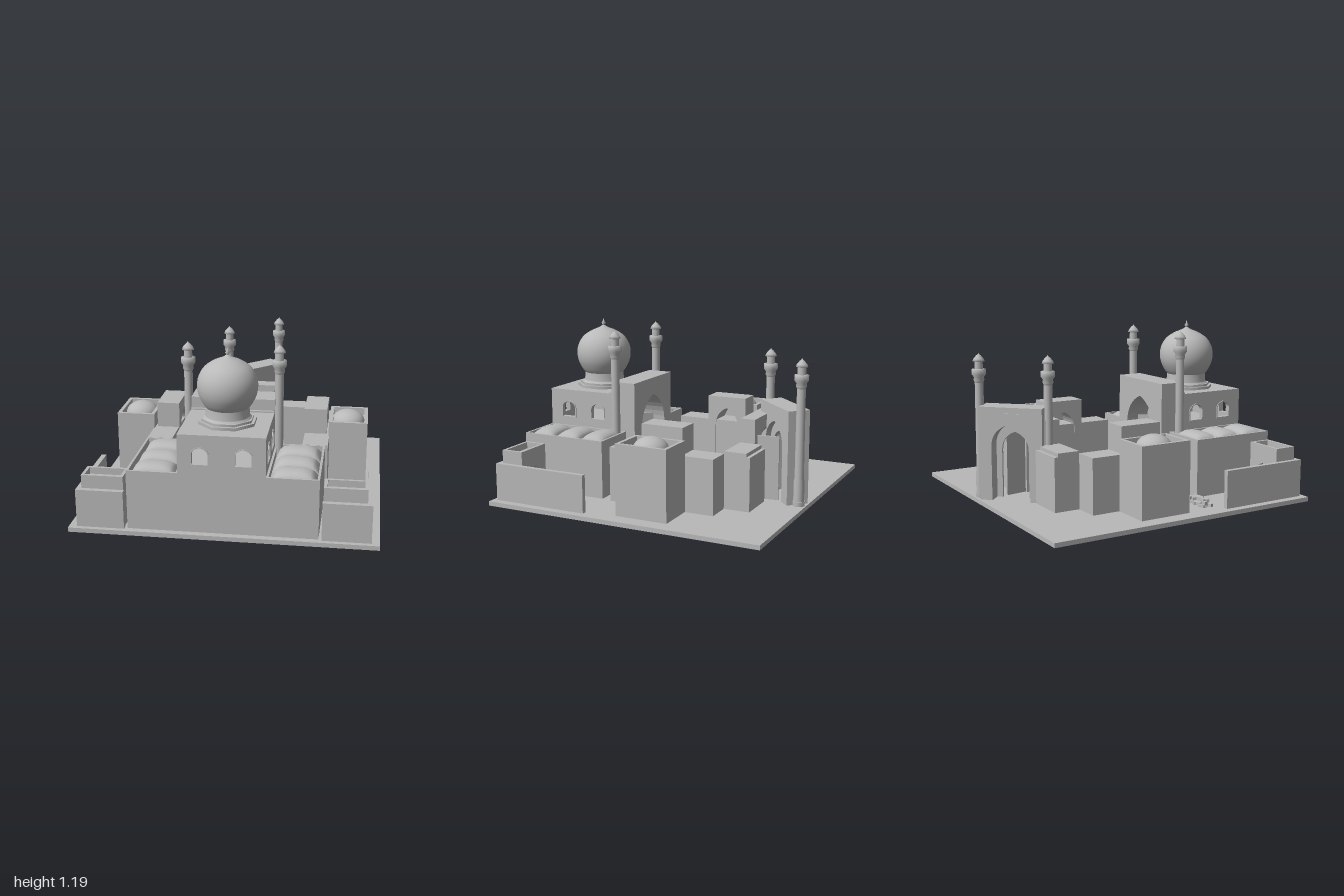
import * as THREE from 'three';

const stone = new THREE.MeshStandardMaterial({ color: 0xb9b9b9, side: THREE.DoubleSide });
stone.name = 'grey stone';

function add(parent, name, geometry, x = 0, y = 0, z = 0, ry = 0) {
  const mesh = new THREE.Mesh(geometry, stone);
  mesh.name = name;
  mesh.position.set(x, y, z);
  mesh.rotation.y = ry;
  parent.add(mesh);
  return mesh;
}

// Box given by its limits
function block(parent, name, x0, x1, y0, y1, z0, z1) {
  return add(parent, name, new THREE.BoxGeometry(x1 - x0, y1 - y0, z1 - z0),
    (x0 + x1) / 2, (y0 + y1) / 2, (z0 + z1) / 2);
}

// Block with a sunken roof behind a parapet
function parapetBlock(parent, name, x0, x1, z0, z1, top, roof, t) {
  block(parent, name, x0, x1, 0.03, roof, z0, z1);
  for (const [a, b, c, d] of [[x0, x1, z0, z0 + t], [x0, x1, z1 - t, z1],
    [x0, x0 + t, z0 + t, z1 - t], [x1 - t, x1, z0 + t, z1 - t]])
    block(parent, name + 'Parapet', a, b, roof, top, c, d);
}

// Pointed arch from right foot over the apex to the left foot
function drawArch(path, a) {
  const m = a.spring + (a.apex - a.spring) * 0.72;
  path.lineTo(a.x + a.hw, a.y);
  path.lineTo(a.x + a.hw, a.spring);
  path.quadraticCurveTo(a.x + a.hw, m, a.x, a.apex);
  path.quadraticCurveTo(a.x - a.hw, m, a.x - a.hw, a.spring);
  path.lineTo(a.x - a.hw, a.y);
}

// Wall in the xy plane, with an optional arched door and arched windows
function archWall(w, y0, y1, depth, door, windows = []) {
  const s = new THREE.Shape();
  s.moveTo(-w / 2, y0);
  s.lineTo(-w / 2, y1);
  s.lineTo(w / 2, y1);
  s.lineTo(w / 2, y0);
  if (door) drawArch(s, { x: 0, y: y0, ...door });
  s.closePath();
  for (const a of windows) {
    const h = new THREE.Path();
    h.moveTo(a.x - a.hw, a.y);
    drawArch(h, a);
    s.holes.push(h);
  }
  const g = new THREE.ExtrudeGeometry(s, { depth, bevelEnabled: false, curveSegments: 8 });
  return g.translate(0, 0, -depth / 2);
}

// Thin raised border around an arched window
function archFrame(a, t) {
  const s = new THREE.Shape();
  s.moveTo(-a.hw - t, a.y - t);
  drawArch(s, { x: 0, y: a.y - t, hw: a.hw + t, spring: a.spring, apex: a.apex + t });
  const h = new THREE.Path();
  h.moveTo(-a.hw, a.y);
  drawArch(h, { ...a, x: 0 });
  s.holes.push(h);
  return new THREE.ExtrudeGeometry(s, { depth: 0.006, bevelEnabled: false, curveSegments: 8 });
}

const lathe = (pts, n = 24) =>
  new THREE.LatheGeometry(pts.map(([r, y]) => new THREE.Vector2(r, y)), n);

// Slender tower with balcony, lantern and pointed cap
function minaret(parent, x, z, top) {
  const g = new THREE.Group();
  g.name = 'minaret';
  g.position.set(x, 0, z);
  parent.add(g);
  add(g, 'minaretBase', new THREE.CylinderGeometry(0.042, 0.042, 0.03, 8), 0, 0.045, 0);
  add(g, 'minaretShaft', lathe([[0.036, 0.03], [0.036, 0.2], [0.031, 0.22], [0.029, top - 0.2]], 16));
  add(g, 'balcony', lathe([[0.029, top - 0.2], [0.036, top - 0.185], [0.034, top - 0.165],
    [0.048, top - 0.145], [0.048, top - 0.11], [0.03, top - 0.108]], 16));
  add(g, 'lantern', new THREE.CylinderGeometry(0.027, 0.029, 0.06, 12), 0, top - 0.085, 0);
  add(g, 'cap', lathe([[0.026, top - 0.06], [0.041, top - 0.057], [0.034, top - 0.04],
    [0.016, top - 0.018], [0.005, top - 0.01], [0, top]], 16));
}

// Pillow-shaped roof vault
function vault(w, d, h) {
  const g = new THREE.PlaneGeometry(w, d, 14, 14).rotateX(-Math.PI / 2);
  const p = g.attributes.position;
  for (let i = 0; i < p.count; i++) {
    const u = Math.abs(2 * p.getX(i) / w), v = Math.abs(2 * p.getZ(i) / d);
    p.setY(i, h * Math.sqrt(Math.max(0, (1 - u ** 3) * (1 - v ** 2.5))));
  }
  g.computeVertexNormals();
  return g;
}

export function createModel() {
  const model = new THREE.Group();
  model.name = 'domedCourtyardComplex';
  block(model, 'base', -1, 1, 0, 0.03, -0.98, 0.98);

  // Domed hall: solid lower storey, hollow upper storey with windows
  const hall = new THREE.Group();
  hall.name = 'domedHall';
  model.add(hall);
  block(hall, 'hallLower', -0.28, 0.28, 0.03, 0.44, 0.43, 0.935);
  block(hall, 'hallRoof', -0.28, 0.28, 0.66, 0.69, 0.43, 0.935);
  const win = { y: 0.495, hw: 0.052, spring: 0.56, apex: 0.607 };
  const pair = [{ ...win, x: -0.138 }, { ...win, x: 0.138 }];
  add(hall, 'hallFront', archWall(0.56, 0.44, 0.66, 0.03, null, pair), 0, 0, 0.92);
  for (const x of [-0.138, 0.138]) add(hall, 'windowFrame', archFrame(win, 0.007), x, 0, 0.935);
  for (const s of [-1, 1]) {
    const side = [{ ...win, x: -0.12 }, { ...win, x: 0.12 }];
    add(hall, 'hallSide', archWall(0.475, 0.44, 0.66, 0.03, null, side), s * 0.265, 0, 0.6675, Math.PI / 2);
    for (const z of [0.5475, 0.7875])
      add(hall, 'windowFrame', archFrame(win, 0.007), s * 0.28, 0, z, s * Math.PI / 2);
  }

  // Onion dome on an octagonal plinth
  const dome = new THREE.Group();
  dome.name = 'dome';
  dome.position.set(0, 0, 0.655);
  hall.add(dome);
  const plinth = [[0.195, 0.7, 0.02], [0.175, 0.717, 0.016]];
  for (const [r, y, h] of plinth)
    add(dome, 'domePlinth', new THREE.CylinderGeometry(r, r, h, 8).toNonIndexed(), 0, y, 0, Math.PI / 8);
  add(dome, 'drum', lathe([[0.16, 0.72], [0.148, 0.735], [0.143, 0.74], [0.14, 0.795]], 40));
  const curve = new THREE.SplineCurve([[0.14, 0.795], [0.162, 0.825], [0.187, 0.88], [0.195, 0.94], [0.183, 1.0],
    [0.148, 1.055], [0.09, 1.095], [0.035, 1.118], [0.008, 1.135]].map(([r, y]) => new THREE.Vector2(r, y)));
  add(dome, 'domeShell', new THREE.LatheGeometry(curve.getPoints(32), 48));
  add(dome, 'finial', lathe([[0.008, 1.125], [0.007, 1.138], [0.016, 1.15], [0.007, 1.162], [0, 1.188]], 12));

  // Great portal facing the courtyard
  add(hall, 'greatPortal', archWall(0.56, 0.03, 0.775, 0.18, { hw: 0.175, spring: 0.42, apex: 0.655 }), 0, 0, 0.34);
  block(hall, 'portalBackWall', -0.28, 0.28, 0.44, 0.7, 0.425, 0.45);
  add(hall, 'portalDoorway', archWall(0.2, 0.03, 0.5, 0.03, { hw: 0.06, spring: 0.27, apex: 0.36 }), 0, 0, 0.41);
  for (const s of [-1, 1]) {
    add(hall, 'portalNiche', archWall(0.11, 0.03, 0.48, 0.02, { hw: 0.035, spring: 0.27, apex: 0.34 }),
      s * 0.135, 0, 0.385, s * Math.PI / 4);
    minaret(model, s * 0.305, 0.385, 1.145);
  }

  // Parts mirrored left and right
  for (const s of [-1, 1]) {
    const side = new THREE.Group();
    side.name = s > 0 ? 'leftSide' : 'rightSide';
    model.add(side);
    const span = (a, b) => (s > 0 ? [a, b] : [-b, -a]);

    // Vaulted prayer wing
    parapetBlock(side, 'prayerWing', ...span(0.28, 0.615), 0.32, 0.935, 0.43, 0.38, 0.015);
    for (let i = 0; i < 3; i++)
      add(side, 'roofVault', vault(0.3, 0.2, 0.075), s * 0.447, 0.38, 0.43 + i * 0.197);

    // Courtyard range with its portal
    block(side, 'courtyardRange', ...span(0.455, 0.63), 0.03, 0.405, -0.51, 0.25);
    add(side, 'sidePortal', archWall(0.3, 0.03, 0.585, 0.16, { hw: 0.09, spring: 0.36, apex: 0.5 }),
      s * 0.53, 0, -0.135, Math.PI / 2);

    // Domed side chamber
    parapetBlock(side, 'sideChamber', ...span(0.625, 0.895), -0.31, 0.055, 0.508, 0.46, 0.025);
    const cap = new THREE.SphereGeometry(0.118, 24, 8, 0, Math.PI * 2, 0, Math.PI / 2).scale(1, 0.72, 1);
    add(side, 'sideDome', cap, s * 0.755, 0.46, -0.13);

    // Rear rooms beside the entrance
    block(side, 'rearRoom', ...span(0.185, 0.455), 0.03, 0.42, -0.665, -0.51);
    block(side, 'rearRoomStep', ...span(0.185, 0.455), 0.03, 0.395, -0.69, -0.665);

    // Front enclosure wall and corner turret
    block(side, 'enclosureWall', ...span(0.915, 0.948), 0.03, 0.285, s > 0 ? 0.27 : 0.32, 0.95);
    block(side, 'enclosureFront', ...span(0.635, 0.948), 0.03, 0.285, 0.915, 0.95);
    block(side, 'turretBody', ...span(0.64, 0.915), 0.03, 0.33, 0.79, 0.915);
    add(side, 'turretArch', archWall(0.275, 0.03, 0.33, 0.03, { hw: 0.075, spring: 0.17, apex: 0.25 }), s * 0.7775, 0, 0.775);
    for (const [a, b, c, d] of [[0.64, 0.915, 0.76, 0.78], [0.64, 0.915, 0.895, 0.915],
      [0.64, 0.66, 0.78, 0.895], [0.895, 0.915, 0.78, 0.895]])
      block(side, 'turretParapet', ...span(a, b), 0.33, 0.375, c, d);
  }

  // Rear portal and turned entrance gate
  add(model, 'rearPortal', archWall(0.37, 0.03, 0.585, 0.105, { hw: 0.11, spring: 0.34, apex: 0.5 }), 0, 0, -0.5625);
  add(model, 'passageWall', new THREE.BoxGeometry(0.015, 0.44, 0.15), 0.125, 0.25, -0.69, 0.14);
  const gate = new THREE.Group();
  gate.name = 'entranceGate';
  gate.position.set(0, 0, -0.757);
  gate.rotation.y = Math.PI / 4;
  model.add(gate);
  add(gate, 'gateArch', archWall(0.445, 0.03, 0.67, 0.155, { hw: 0.135, spring: 0.4, apex: 0.56 }));
  add(gate, 'gateInnerArch', archWall(0.28, 0.03, 0.57, 0.02, { hw: 0.095, spring: 0.36, apex: 0.49 }), 0, 0, 0.03);
  block(gate, 'gatePanel', -0.09, 0.09, 0.585, 0.63, -0.083, -0.077);
  for (const s of [-1, 1]) minaret(gate, s * 0.243, 0, 1.022);

  // Courtyard pool and paved platforms
  parapetBlock(model, 'pool', -0.095, 0.095, -0.2, -0.06, 0.05, 0.04, 0.01);
  for (const [x, z, w, d, r] of [[0.2, -0.015, 0.2, 0.11, 0.26], [-0.17, -0.23, 0.12, 0.08, -0.25], [-0.18, -0.015, 0.1, 0.07, -0.1]])
    add(model, 'platform', new THREE.BoxGeometry(w, 0.02, d), x, 0.04, z, r);

  // Scattered blocks in the yard and a pile beside the hall
  let seed = 7;
  const rnd = () => (seed = (seed * 16807) % 2147483647) / 2147483647;
  for (let i = 0; i < 85; i++) {
    const a = rnd() * Math.PI * 2, r = 0.35 + 0.65 * rnd(), w = 0.018 + 0.02 * rnd();
    add(model, 'scatteredBlock', new THREE.BoxGeometry(w, 0.025, w * 0.9),
      0.01 + Math.cos(a) * r * 0.36, 0.042, -0.13 + Math.sin(a) * r * 0.32, rnd() * 0.5 - 0.25);
  }
  for (let i = 0; i < 45; i++)
    add(model, 'pileBlock', new THREE.BoxGeometry(0.03, 0.02, 0.022),
      -0.75 + (rnd() - 0.5) * 0.2, 0.04 + 0.02 * Math.floor(rnd() * 2), 0.24 + (rnd() - 0.5) * 0.08, rnd() - 0.5);
  return model;
}
